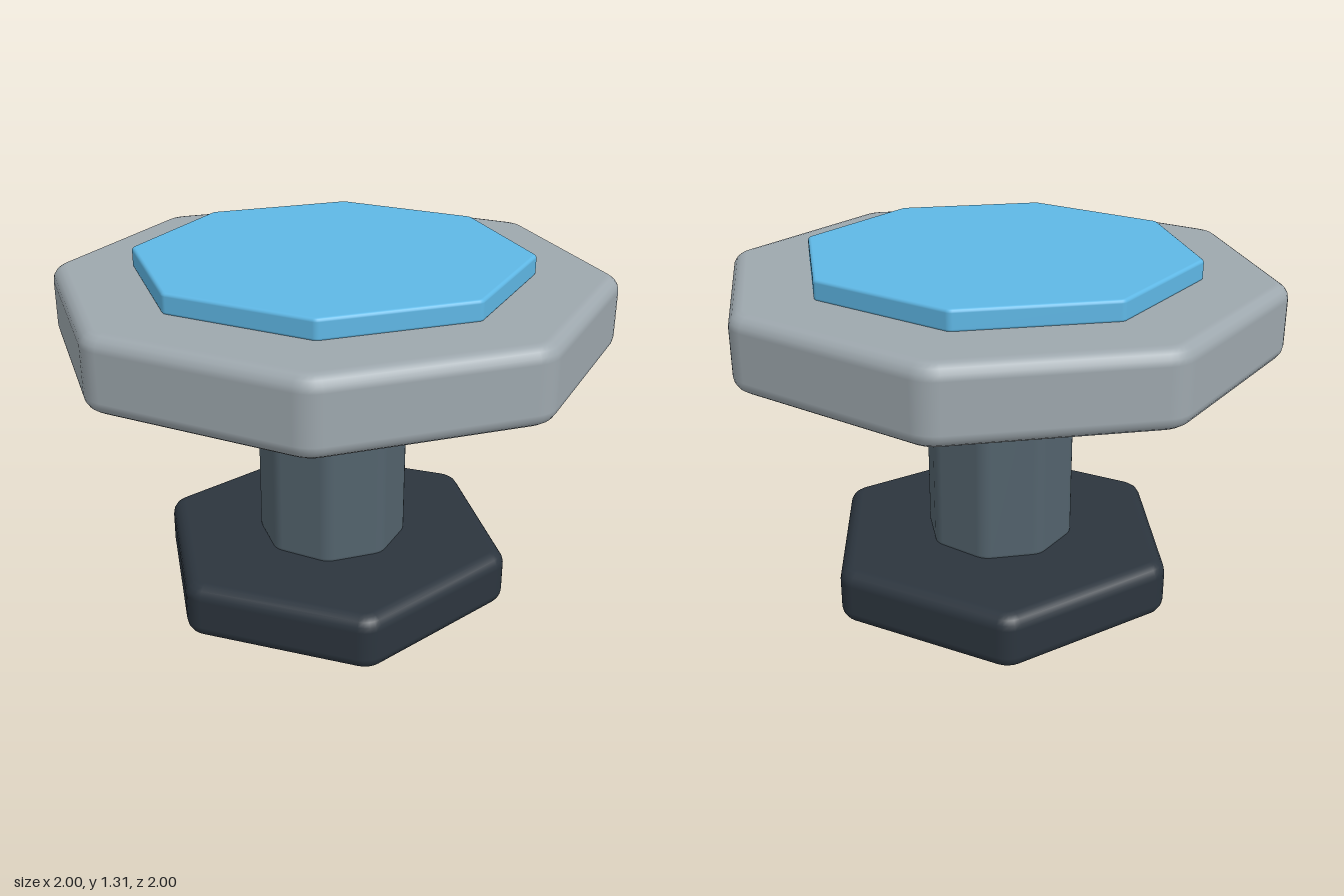
import * as THREE from 'three';

// Upright prism with `sides` corners (first one on +z) and rounded edges.
// The bevel is a quarter circle on the rims, and its width is measured along the faces at the corners.
function roundedPrism(sides, radius, y0, y1, bevel, steps = 4) {
  const half = Math.PI / sides;
  const cornerR = bevel / Math.tan(half);
  const centreR = radius - cornerR / Math.cos(half);
  const pos = [], nor = [], idx = [];

  // one outline ring: its height, inset and normal tilt come from phi
  const addRing = (y, phi) => {
    const r = cornerR - bevel + bevel * Math.cos(phi);
    for (let k = 0; k < sides; k++) {
      const c = 2 * half * k;
      for (let s = 0; s <= steps; s++) {
        const a = c - half + (2 * half * s) / steps;
        pos.push(centreR * Math.sin(c) + r * Math.sin(a), y + bevel * Math.sin(phi),
          centreR * Math.cos(c) + r * Math.cos(a));
        nor.push(Math.sin(a) * Math.cos(phi), Math.sin(phi), Math.cos(a) * Math.cos(phi));
      }
    }
  };
  for (let j = 0; j <= steps; j++) addRing(y0 + bevel, (j / steps - 1) * Math.PI / 2);
  for (let j = 0; j <= steps; j++) addRing(y1 - bevel, (j / steps) * Math.PI / 2);

  const n = sides * (steps + 1), rings = 2 * steps + 2;
  for (let j = 0; j < rings - 1; j++) {
    for (let i = 0; i < n; i++) {
      const a = j * n + i, b = j * n + (i + 1) % n;
      idx.push(a, b, b + n, a, b + n, a + n);
    }
  }
  // flat caps
  const bottom = rings * n, top = bottom + 1, last = (rings - 1) * n;
  pos.push(0, y0, 0, 0, y1, 0);
  nor.push(0, -1, 0, 0, 1, 0);
  for (let i = 0; i < n; i++) {
    const k = (i + 1) % n;
    idx.push(bottom, k, i, top, last + i, last + k);
  }

  const g = new THREE.BufferGeometry();
  g.setAttribute('position', new THREE.Float32BufferAttribute(pos, 3));
  g.setAttribute('normal', new THREE.Float32BufferAttribute(nor, 3));
  g.setIndex(idx);
  return g;
}

export function createModel() {
  const group = new THREE.Group();
  group.name = 'pedestal';

  const add = (name, color, ...size) => {
    const mesh = new THREE.Mesh(roundedPrism(...size), new THREE.MeshStandardMaterial({ color }));
    mesh.name = name;
    group.add(mesh);
  };

  // name, colour, sides, corner radius, bottom, top, bevel
  add('base', 0x2c353e, 6, 0.687, 0, 0.21, 0.05);
  add('column', 0x53636d, 8, 0.282, 0.19, 1.0, 0.03);
  add('tableTop', 0x9ea8ae, 8, 1.01, 0.975, 1.24, 0.05);
  add('inlay', 0x5fb8e6, 8, 0.713, 1.235, 1.31, 0.012);

  return group;
}
